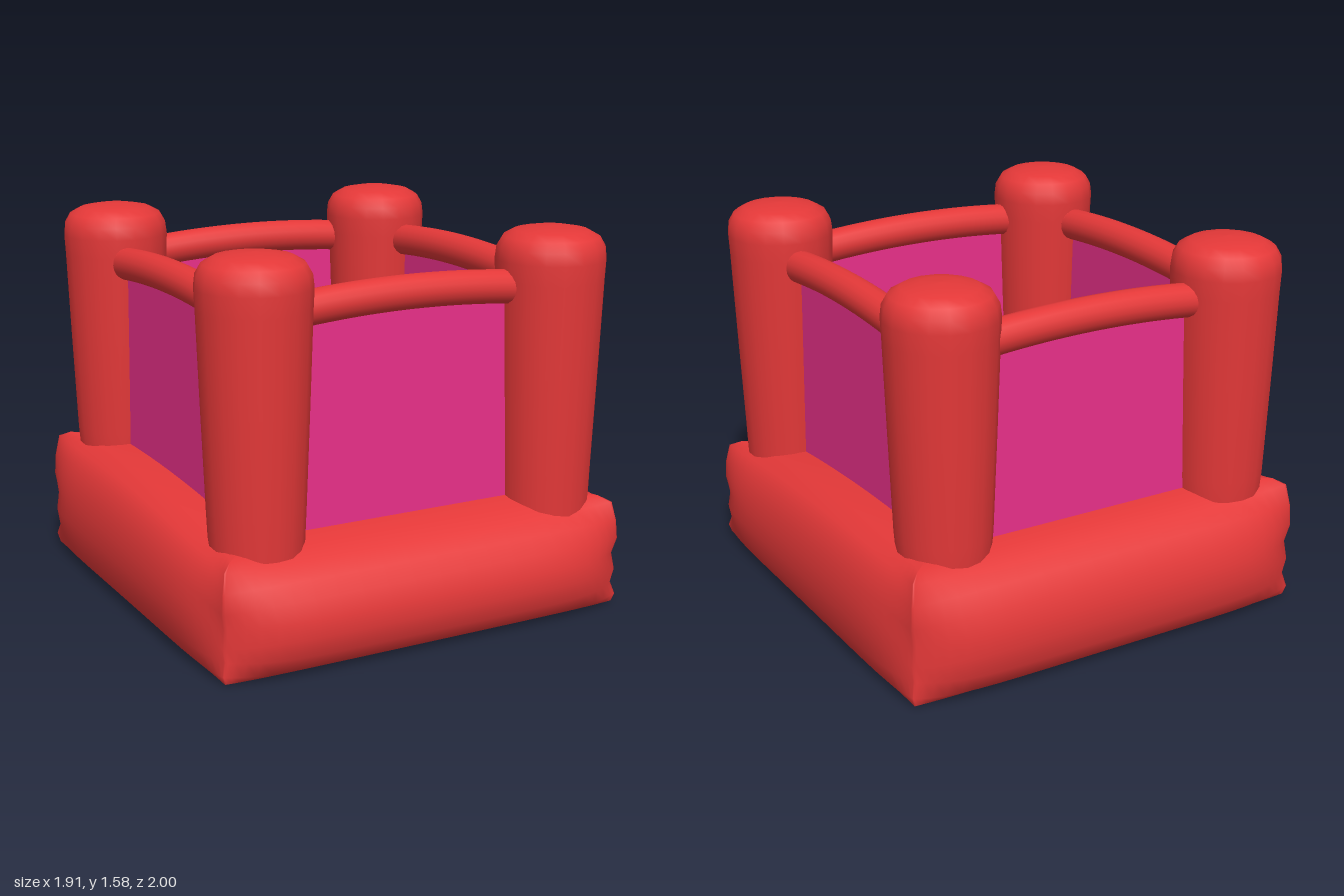
import * as THREE from 'three';

const red = new THREE.MeshStandardMaterial({ color: 0xe43838, side: THREE.DoubleSide });
const pink = new THREE.MeshStandardMaterial({ color: 0xea308a, side: THREE.DoubleSide });

// The floor is slightly domed and falls away towards the front
const FLOOR = 0.545;
const tilt = (y, z) => y * (1 - 0.083 * z - 0.1 * z * z);

function add(parent, name, geometry, material) {
  const mesh = new THREE.Mesh(geometry, material);
  mesh.name = name;
  parent.add(mesh);
  return mesh;
}

// Puffed cushion, open underneath: square rings that bulge between pinched corners
function cushionGeometry() {
  // [corner reach, corner height, mid-side reach, mid-side height]
  const rings = [
    [0.89, 0.02, 0.89, 0.012], [0.9, 0.06, 0.945, 0.045], [0.885, 0.12, 0.985, 0.12],
    [0.895, 0.19, 1.0, 0.215], [0.885, 0.27, 0.995, 0.3], [0.9, 0.35, 0.97, 0.385],
    [0.895, 0.44, 0.925, 0.455], [0.88, 0.53, 0.865, 0.505], [0.84, 0.55, 0.79, 0.535],
    [0.74, 0.54, 0.7, 0.545], [0.6, FLOOR, 0.6, FLOOR], [0.3, FLOOR, 0.3, FLOOR], [0, FLOOR, 0, FLOOR],
  ];
  const N = 24, M = 4 * N, pos = [], index = [];
  for (const [cr, cy, mr, my] of rings) {
    for (let i = 0; i < M; i++) {
      const k = Math.floor(i / N);
      const s = Math.sin((((i % N) / N) * 2 - 1) * Math.PI / 2);
      const w = 1 - Math.abs(s) ** 7;
      // Left and right sides bulge less than front and back
      const mid = k % 2 && mr > 0.87 ? mr - (mr - 0.87) * 0.33 : mr;
      let x = s * cr, z = cr + (mid - cr) * w;
      for (let r = 0; r < k; r++) [x, z] = [z, -x];
      pos.push(x, tilt(cy + (my - cy) * w, z), z);
    }
  }
  for (let j = 0; j < rings.length - 1; j++) {
    for (let i = 0; i < M; i++) {
      const a = j * M + i, b = j * M + (i + 1) % M;
      index.push(a, b, a + M, b, b + M, a + M);
    }
  }
  const g = new THREE.BufferGeometry();
  g.setAttribute('position', new THREE.Float32BufferAttribute(pos, 3));
  g.setIndex(index);
  g.computeVertexNormals();
  return g;
}

// Corner pillar, widening upwards to a soft dome, open at the foot
function pillarGeometry(foot) {
  const profile = [
    [0.185, foot], [0.192, 0.6], [0.207, 1.0], [0.22, 1.38], [0.224, 1.46], [0.218, 1.51],
    [0.195, 1.55], [0.15, 1.575], [0.08, 1.588], [0, 1.592],
  ];
  return new THREE.LatheGeometry(profile.map(([r, y]) => new THREE.Vector2(r, y)), 18);
}

// Bowed rail along x with rounded ends
function addRail(parent) {
  const half = 0.465, R = 0.069;
  const curve = new THREE.QuadraticBezierCurve3(
    new THREE.Vector3(-half, 1.36, 0), new THREE.Vector3(0, 1.406, 0), new THREE.Vector3(half, 1.36, 0));
  add(parent, 'railTube', new THREE.TubeGeometry(curve, 20, R, 16), red);
  for (const side of [-1, 1]) {
    const cap = add(parent, 'railEnd', new THREE.SphereGeometry(R, 16, 10), red);
    cap.position.set(side * half, 1.36, 0);
    cap.scale.x = 0.4;
  }
}

export function createModel() {
  const model = new THREE.Group();
  model.name = 'bouncyCastle';
  add(model, 'cushionBase', cushionGeometry(), red);

  // Pillars: x, z, foot height
  const pillars = [
    [-0.648, 0.67, 0.445], [0.664, 0.693, 0.37], [-0.648, -0.7, 0.51], [0.63, -0.66, 0.51],
  ];
  for (const [x, z, foot] of pillars) {
    add(model, 'pillar', pillarGeometry(foot), red).position.set(x, 0, z);
  }

  // Four walls, each a rail with a thin panel under it: x, z, turn
  const walls = [
    ['front', 0, 0.69, 0], ['back', 0, -0.72, 0],
    ['right', -0.68, -0.015, Math.PI / 2], ['left', 0.672, 0.005, Math.PI / 2],
  ];
  for (const [name, x, z, turn] of walls) {
    const wall = new THREE.Group();
    wall.name = name + 'Wall';
    wall.position.set(x, 0, z);
    wall.rotation.y = turn;
    addRail(wall);

    // The panel foot follows the floor
    const foot = (u) => tilt(FLOOR, z - Math.sin(turn) * u) - 0.015;
    const panel = new THREE.Shape();
    panel.moveTo(0.48, 1.35);
    panel.lineTo(0, 1.38);
    panel.lineTo(-0.48, 1.35);
    for (let u = -3; u <= 3; u++) panel.lineTo(u * 0.17, foot(u * 0.17));
    add(wall, 'panel', new THREE.ShapeGeometry(panel), pink);
    model.add(wall);
  }
  return model;
}
